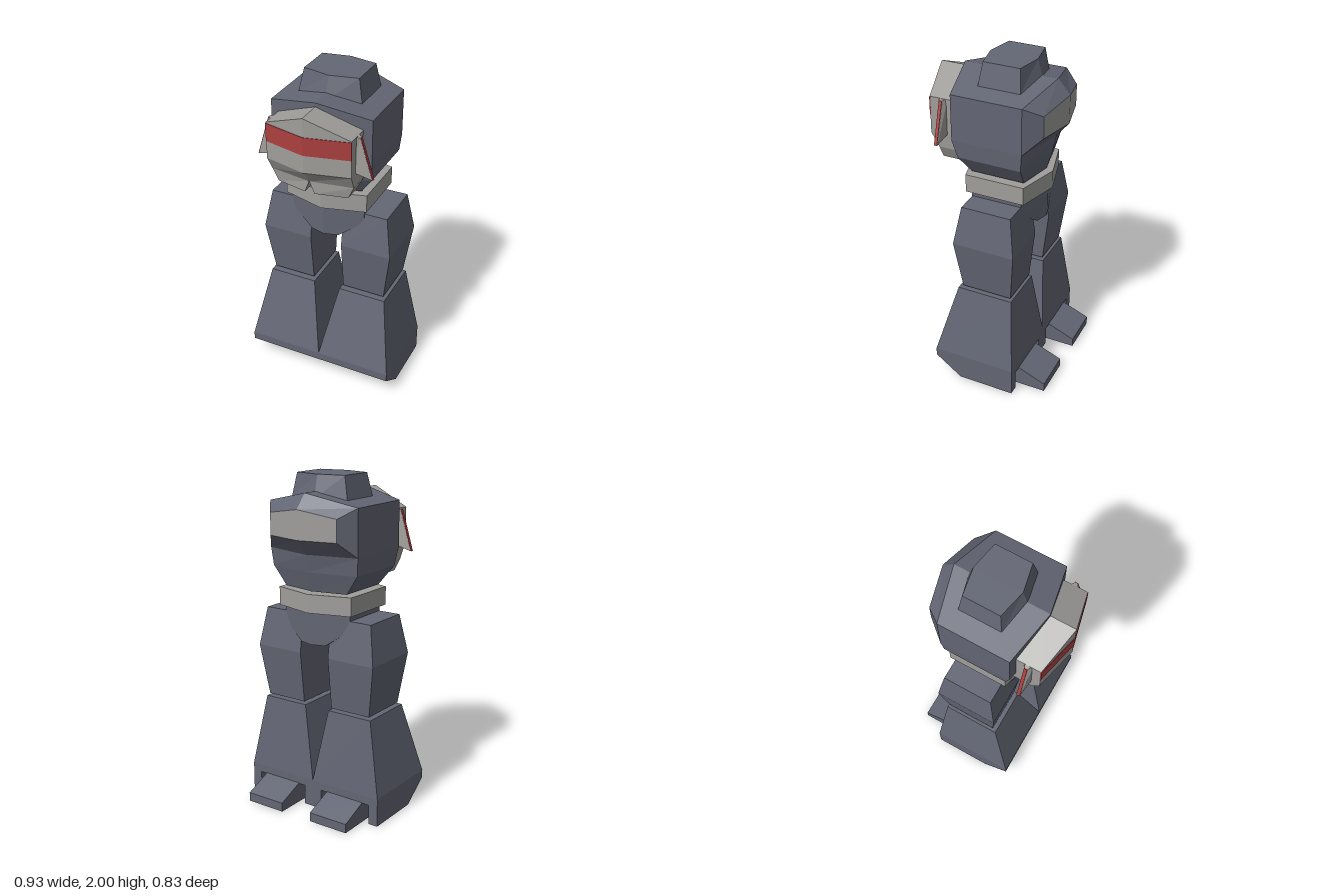
import * as THREE from 'three';

const slate = new THREE.MeshStandardMaterial({ color: 0x636674 });
slate.name = 'slate armour';
const grey = new THREE.MeshStandardMaterial({ color: 0x9f9e9b });
grey.name = 'light grey';
const red = new THREE.MeshStandardMaterial({ color: 0xab3f3f });
red.name = 'red';

// Six-point ring with a centre ridge at front and back
const hex = (x, y, zf, zfc, zb, zbc, yc = y) => [
  [-x, y, zf], [0, yc, zfc], [x, y, zf], [x, y, zb], [0, yc, zbc], [-x, y, zb],
];
// Four-point ring
const rect = (x0, x1, y, zf, zb) => [[x0, y, zf], [x1, y, zf], [x1, y, zb], [x0, y, zb]];
// Mirror rings across x = 0, keeping the winding outward
const mirror = (rings, s) => s > 0 ? rings
  : rings.map((r) => r.map(([x, y, z]) => [-x, y, z]).reverse());

function facets(name, mat, quads) {
  const pos = [];
  for (const [a, b, c, d] of quads) pos.push(...a, ...b, ...c, ...a, ...c, ...d);
  const geo = new THREE.BufferGeometry();
  geo.setAttribute('position', new THREE.Float32BufferAttribute(pos, 3));
  geo.computeVertexNormals();
  const mesh = new THREE.Mesh(geo, mat);
  mesh.name = name;
  return mesh;
}

// Flat caps, folded along the centre ridge for six-point rings
const cap = (r) => r.length === 4 ? [r] : [[r[0], r[1], r[4], r[5]], [r[1], r[2], r[3], r[4]]];
const flip = (quads) => quads.map((q) => [...q].reverse());

function loft(name, mat, rings, capStart = true, capEnd = true) {
  const quads = [];
  for (let k = 0; k + 1 < rings.length; k++) {
    const a = rings[k], b = rings[k + 1];
    a.forEach((p, i) => {
      const j = (i + 1) % a.length;
      quads.push([p, a[j], b[j], b[i]]);
    });
  }
  if (capStart) quads.push(...flip(cap(rings[0])));
  if (capEnd) quads.push(...cap(rings[rings.length - 1]));
  return facets(name, mat, quads);
}

// Side profile of [z, y] points, extruded from x0 to x1
function slab(name, mat, profile, x0, x1) {
  const shape = new THREE.Shape(profile.map(([z, y]) => new THREE.Vector2(z, y)));
  const geo = new THREE.ExtrudeGeometry(shape, { depth: x1 - x0, bevelEnabled: false });
  geo.rotateY(-Math.PI / 2);
  geo.translate(x1, 0, 0);
  const mesh = new THREE.Mesh(geo, mat);
  mesh.name = name;
  return mesh;
}

function makeLeg(s) {
  const leg = new THREE.Group();
  leg.name = s > 0 ? 'leftLeg' : 'rightLeg';
  leg.add(loft('thigh', slate, mirror([
    rect(0.1, 0.365, 0.64, 0.12, -0.19),
    rect(0.1, 0.41, 0.955, 0.155, -0.225),
    rect(0.1, 0.37, 1.19, 0.115, -0.19),
  ], s)));
  leg.add(loft('shin', slate, mirror([
    rect(0, 0.465, 0.12, 0.27, -0.245),
    rect(0, 0.465, 0.17, 0.27, -0.245),
    rect(0.085, 0.38, 0.625, 0.145, -0.2),
  ], s)));

  const part = (name, profile, x0, x1) =>
    leg.add(s > 0 ? slab(name, slate, profile, x0, x1) : slab(name, slate, profile, -x1, -x0));
  // Foot walls, with a pocketed middle: recess at the front, notch at the back
  const wall = [[0.105, 0], [0.27, 0.12], [-0.245, 0.12], [-0.245, 0]];
  part('footInnerWall', wall, 0, 0.06);
  part('footOuterWall', wall, 0.405, 0.465);
  part('footMiddle', [
    [0.105, 0], [0.139, 0.025], [0.09, 0.025], [0.09, 0.1], [0.2425, 0.1],
    [0.27, 0.12], [-0.15, 0.12], [-0.15, 0],
  ], 0.06, 0.405);
  part('heelSpur', [
    [-0.15, 0], [-0.15, 0.119], [-0.245, 0.124], [-0.415, 0.055], [-0.415, 0],
  ], 0.105, 0.36);
  return leg;
}

function makeEar(s) {
  const ear = new THREE.Group();
  ear.name = s > 0 ? 'leftEarFin' : 'rightEarFin';
  // Wedge narrowing outward to a thin slanted edge
  const ring = (x0, x1, y0, y1) => [
    [x0, y0, 0.307], [x1, y1, 0.287], [x1, y1, 0.267], [x0, y0, 0.25],
  ];
  ear.add(loft('fin', grey, mirror([
    ring(0.24, 0.345, 1.57, 1.535), ring(0.24, 0.272, 1.78, 1.775),
  ], s)));
  const strip = (x, y) => rect(x, x + 0.005, y, 0.286, 0.268);
  ear.add(loft('finEdge', red, mirror([strip(0.345, 1.535), strip(0.272, 1.775)], s)));
  return ear;
}

function makeMask() {
  const mask = new THREE.Group();
  mask.name = 'faceMask';
  mask.add(loft('maskShell', grey, [
    hex(0.25, 1.475, 0.31, 0.35, 0.18, 0.2),
    hex(0.255, 1.56, 0.355, 0.415, 0.205, 0.24),
    hex(0.255, 1.78, 0.355, 0.415, 0.205, 0.24, 1.885),
  ]));
  mask.add(loft('visorBand', red, [
    hex(0.2555, 1.667, 0.358, 0.418, 0.351, 0.411),
    hex(0.2555, 1.775, 0.358, 0.418, 0.351, 0.411),
  ]));
  // Chin halves leave a small notch in the middle
  const half = (x0, x1, y, zi, zo, zb) => [[x0, y, zi], [x1, y, zo], [x1, y, zb], [x0, y, zb]];
  for (const s of [1, -1]) {
    mask.add(loft('chin', grey, mirror([
      half(0.03, 0.215, 1.4, 0.345, 0.305, 0.19), half(0, 0.25, 1.475, 0.35, 0.31, 0.18),
    ], s)));
    mask.add(makeEar(s));
  }
  return mask;
}

export function createModel() {
  const model = new THREE.Group();
  model.name = 'robot';
  for (const s of [1, -1]) model.add(makeLeg(s));

  // Pelvis and belt
  model.add(loft('pelvis', slate, [
    hex(0.085, 1.03, 0.162, 0.185, -0.23, -0.255),
    hex(0.23, 1.13, 0.12, 0.185, -0.19, -0.255),
    hex(0.23, 1.23, 0.12, 0.185, -0.19, -0.255),
  ]));
  model.add(loft('belt', grey, [1.225, 1.335].map((y) => hex(0.255, y, 0.145, 0.215, -0.215, -0.285))));

  // Torso and the cap on its ridged roof
  model.add(loft('torso', slate, [
    hex(0.215, 1.345, 0.125, 0.185, -0.2, -0.245),
    hex(0.295, 1.46, 0.17, 0.235, -0.215, -0.278),
    hex(0.305, 1.565, 0.2, 0.265, -0.225, -0.3),
    hex(0.305, 1.84, 0.2, 0.265, -0.225, -0.3, 1.908),
  ]));
  model.add(loft('topCap', slate, [
    hex(0.192, 1.865, 0.09, 0.142, -0.165, -0.215),
    hex(0.165, 2, 0.07, 0.105, -0.15, -0.18),
  ]));

  // Back bulge with a grey panel
  const backRing = (x, lo, hi, hiC, z, zc) => [
    [x, lo, z], [0, lo, zc], [-x, lo, z], [-x, hi, z], [0, hiC, zc], [x, hi, z],
  ];
  const outer = backRing(0.305, 1.565, 1.84, 1.908, -0.225, -0.3);
  const inner = backRing(0.23, 1.655, 1.785, 1.825, -0.32, -0.373);
  model.add(loft('backBulge', slate, [outer, inner], false, false));
  model.add(facets('backPanel', grey, cap(inner)));

  model.add(makeMask());
  return model;
}
